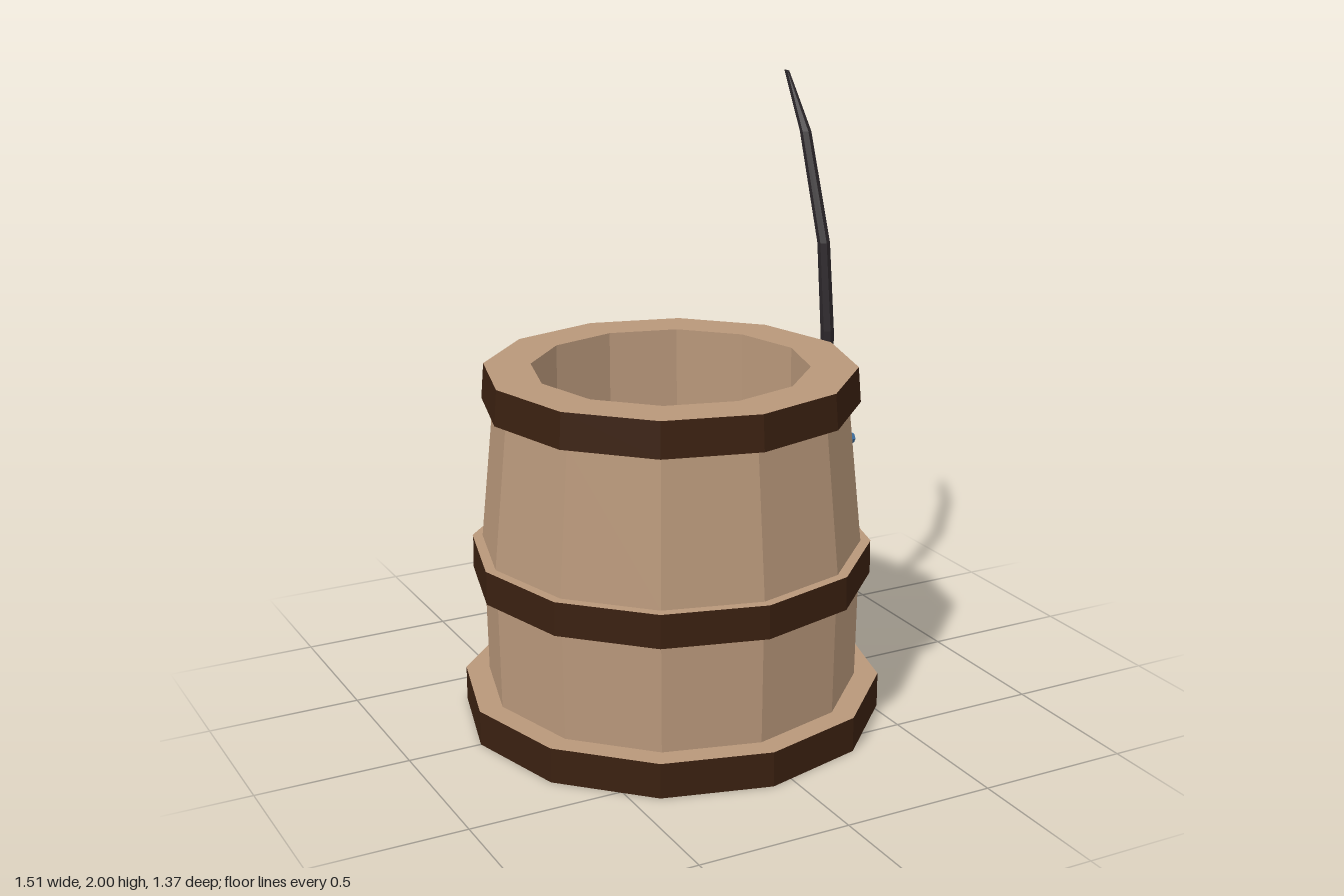
import * as THREE from 'three';

const SIDES = 12;
const paint = (color) => new THREE.MeshStandardMaterial({ color, flatShading: true });
const wood = paint(0xb8977a), darkBand = paint(0x3a2010), olive = paint(0x9c995c);
const black = paint(0x2b2629), steel = paint(0x8f8d94), blue = paint(0x3f6f9f);

function add(parent, name, geometry, material, x = 0, y = 0, z = 0) {
  const mesh = new THREE.Mesh(geometry, material);
  mesh.name = name;
  mesh.position.set(x, y, z);
  parent.add(mesh);
  return mesh;
}

// Faceted surface of revolution; profile runs up the outside, then down the inside
const turned = (profile) =>
  new THREE.LatheGeometry(profile.map(([r, y]) => new THREE.Vector2(r, y)), SIDES);

// Tube through level six-sided rings [y, z, half width in x, half width in z]
function loft(rings) {
  const pos = [], index = [], n = 6;
  for (const [y, z, rx, rz] of rings) {
    for (let i = 0; i < n; i++) {
      const a = (i / n) * Math.PI * 2;
      pos.push(Math.sin(a) * rx * 1.155, y, z + Math.cos(a) * rz);
    }
  }
  for (let k = 0; k < rings.length - 1; k++) {
    for (let i = 0; i < n; i++) {
      const a = k * n + i, b = k * n + ((i + 1) % n);
      index.push(a, b, a + n, b, b + n, a + n);
    }
  }
  const top = (rings.length - 1) * n;
  for (let i = 1; i < n - 1; i++) {
    index.push(0, i + 1, i, top, top + i, top + i + 1);
  }
  const g = new THREE.BufferGeometry();
  g.setAttribute('position', new THREE.Float32BufferAttribute(pos, 3));
  g.setIndex(index);
  g.computeVertexNormals();
  return g;
}

function createBarrel() {
  const barrel = new THREE.Group();
  barrel.name = 'barrel';
  barrel.position.x = -0.073;

  // Staves and ledges, interrupted where the dark bands wrap round
  add(barrel, 'underside', turned([[0, 0], [0.685, 0]]), wood);
  add(barrel, 'lowerStaves', turned([[0.685, 0.115], [0.607, 0.115], [0.613, 0.475], [0.65, 0.475]]), wood);
  add(barrel, 'upperStaves', turned([[0.65, 0.585], [0.617, 0.585], [0.57, 1.055], [0.607, 1.055]]), wood);
  add(barrel, 'rimAndInside', turned([[0.598, 1.17], [0.446, 1.17], [0.446, 0.12], [0, 0.12]]), wood);

  // Bands: [bottom y, top y, bottom radius, top radius]
  const bands = { baseBand: [0, 0.115, 0.685, 0.685], middleBand: [0.475, 0.585, 0.65, 0.648], topBand: [1.055, 1.17, 0.607, 0.598] };
  for (const [name, [y0, y1, r0, r1]] of Object.entries(bands)) {
    add(barrel, name, turned([[r0, y0], [r1, y1]]), darkBand);
  }
  return barrel;
}

function createFishingRod() {
  const rod = new THREE.Group();
  rod.name = 'fishingRod';
  rod.position.x = 0.634;

  // Grip with dark ends
  const grip = new THREE.CylinderGeometry(0.036, 0.036, 0.555, 6);
  grip.scale(1.1, 1, 1);
  add(rod, 'grip', grip, [olive, black, black], 0, 0.518, -0.196);

  // Bent, tapering pole
  add(rod, 'pole', loft([
    [0.79, -0.196, 0.021, 0.022],
    [1.15, -0.202, 0.02, 0.022],
    [1.45, -0.236, 0.019, 0.02],
    [1.81, -0.367, 0.017, 0.019],
    [2.0, -0.498, 0.003, 0.017],
  ]), black);

  // Reel on the outer side, with spindle and crank
  const reel = new THREE.Group();
  reel.name = 'reel';
  reel.position.set(0.034, 0.75, -0.198);
  rod.add(reel);
  const axle = (r, length) => new THREE.CylinderGeometry(r, r, length, 6).rotateZ(Math.PI / 2);
  add(reel, 'reelFoot', axle(0.015, 0.014), blue, 0.001, 0, 0);
  add(reel, 'reelDrum', axle(0.038, 0.038), steel, 0.022, 0, 0);
  add(reel, 'spindle', axle(0.012, 0.02), blue, 0.049, 0, 0);
  add(reel, 'spindleKnob', axle(0.019, 0.022), blue, 0.066, 0, 0);
  const arm = add(reel, 'crankArm', new THREE.BoxGeometry(0.009, 0.009, 0.046), steel, 0.052, 0.012, -0.022);
  arm.rotation.x = 0.5;
  add(reel, 'crankHandle', axle(0.009, 0.036), steel, 0.067, 0.024, -0.042);
  return rod;
}

export function createModel() {
  const model = new THREE.Group();
  model.name = 'barrelWithFishingRod';
  model.add(createBarrel(), createFishingRod());
  return model;
}
